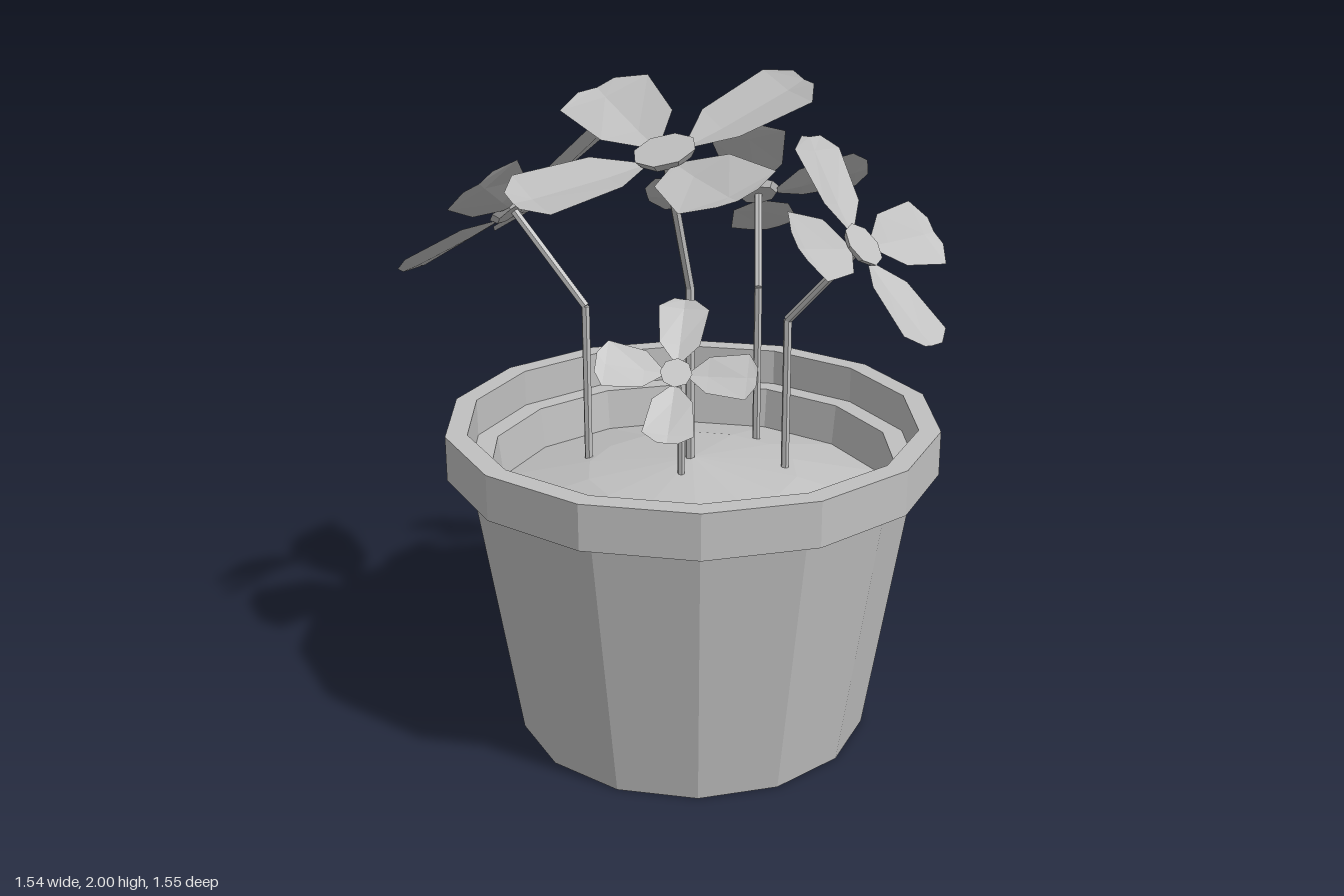
import * as THREE from 'three';

const grey = new THREE.MeshStandardMaterial({ color: 0xc0c0c0, flatShading: true, side: THREE.DoubleSide });
grey.name = 'plain grey';

const SIDES = 14;
const V = (x, y, z) => new THREE.Vector3(x, y, z);

function part(name, geometry, parent) {
  const mesh = new THREE.Mesh(geometry, grey);
  mesh.name = name;
  parent.add(mesh);
  return mesh;
}

function lathe(points) {
  return new THREE.LatheGeometry(points.map(([r, y]) => new THREE.Vector2(r, y)), SIDES);
}

// Petal built from cross-sections [distance, half width, edge height, middle height]
function petalGeometry() {
  const sections = [
    [0.08, 0.025, 0.006, 0.002],
    [0.18, 0.115, 0.03, 0.01],
    [0.4, 0.145, 0.055, 0.04],
    [0.455, 0.06, 0.06, 0.052],
  ];
  const positions = [], index = [];
  for (const [u, w, edge, mid] of sections) positions.push(u, edge, w, u, mid, 0, u, edge, -w);
  for (let i = 0; i < sections.length - 1; i++) {
    for (let j = 0; j < 2; j++) {
      const a = i * 3 + j;
      index.push(a, a + 3, a + 1, a + 1, a + 3, a + 4);
    }
  }
  const g = new THREE.BufferGeometry();
  g.setAttribute('position', new THREE.Float32BufferAttribute(positions, 3));
  g.setIndex(index);
  g.computeVertexNormals();
  return g;
}

// Straight stem piece between two points
function stemPiece(from, to, radius, parent) {
  const dir = to.clone().sub(from);
  const mesh = part('stem', new THREE.CylinderGeometry(radius, radius, dir.length(), 6), parent);
  mesh.position.copy(from).addScaledVector(dir, 0.5);
  mesh.quaternion.setFromUnitVectors(V(0, 1, 0), dir.normalize());
}

function flower({ name, centre, normal, along, size, root, bend }, petal) {
  const group = new THREE.Group();
  group.name = name;
  const c = V(...centre);

  // Stem rises straight, then leans out to the bloom
  const r = 0.008 + 0.006 * size;
  const base = V(root[0], 0.74, root[1]);
  const knee = V(root[0], bend, root[1]);
  stemPiece(base, knee, r, group);
  stemPiece(knee, c, r, group);

  // Bloom: four petals round an eight-sided disc
  const bloom = new THREE.Group();
  bloom.name = 'bloom';
  const y = V(...normal).normalize();
  const x = V(...along);
  x.addScaledVector(y, -x.dot(y)).normalize();
  bloom.quaternion.setFromRotationMatrix(new THREE.Matrix4().makeBasis(x, y, x.clone().cross(y)));
  bloom.position.copy(c);
  bloom.scale.setScalar(size);
  for (let i = 0; i < 4; i++) part('petal', petal, bloom).rotation.y = i * Math.PI / 2;
  part('flowerCentre', new THREE.CylinderGeometry(0.092, 0.075, 0.025, 8), bloom).position.y = 0.008;
  group.add(bloom);
  return group;
}

export function createModel() {
  const model = new THREE.Group();
  model.name = 'flowerPot';

  // Pot with a stepped rim
  const pot = new THREE.Group();
  pot.name = 'pot';
  pot.position.set(0.045, 0, 0.03);
  part('potShell', lathe([
    [0, 0], [0.54, 0], [0.673, 0.85], [0.74, 0.85], [0.74, 0.985],
    [0.675, 0.985], [0.675, 0.87], [0.612, 0.87], [0.595, 0.72],
  ]), pot);

  // Mounded soil
  part('soil', lathe([[0.6, 0.74], [0.32, 0.81], [0, 0.85]]), pot);
  model.add(pot);

  const petal = petalGeometry();
  const flowers = [
    { name: 'tallFlower', centre: [0.085, 1.79, 0.16], normal: [0.093, 1, 0.366],
      along: [0.24, 0.26, -0.77], size: 1, root: [0.04, 0.035], bend: 1.38 },
    { name: 'rightFrontFlower', centre: [-0.465, 1.56, 0.3], normal: [-0.794, 1, 0.308],
      along: [0.31, 0.4, -0.5], size: 0.84, root: [-0.25, 0.2], bend: 1.29 },
    { name: 'rightBackFlower', centre: [-0.22, 1.54, -0.47], normal: [-0.693, 1, -0.455],
      along: [0.32, 0.39, 0.37], size: 0.78, root: [-0.04, -0.31], bend: 1.3 },
    { name: 'leftFlower', centre: [0.45, 1.535, -0.245], normal: [1.055, 1, -0.33],
      along: [0.43, -0.46, -0.02], size: 0.77, root: [0.22, -0.19], bend: 1.28 },
    { name: 'smallFlower', centre: [0.21, 1.2, 0.23], normal: [0.741, 1, 0.632],
      along: [-0.19, 0.28, -0.22], size: 0.5, root: [0.1, 0.12], bend: 1.03 },
  ];
  for (const f of flowers) model.add(flower(f, petal));
  return model;
}
